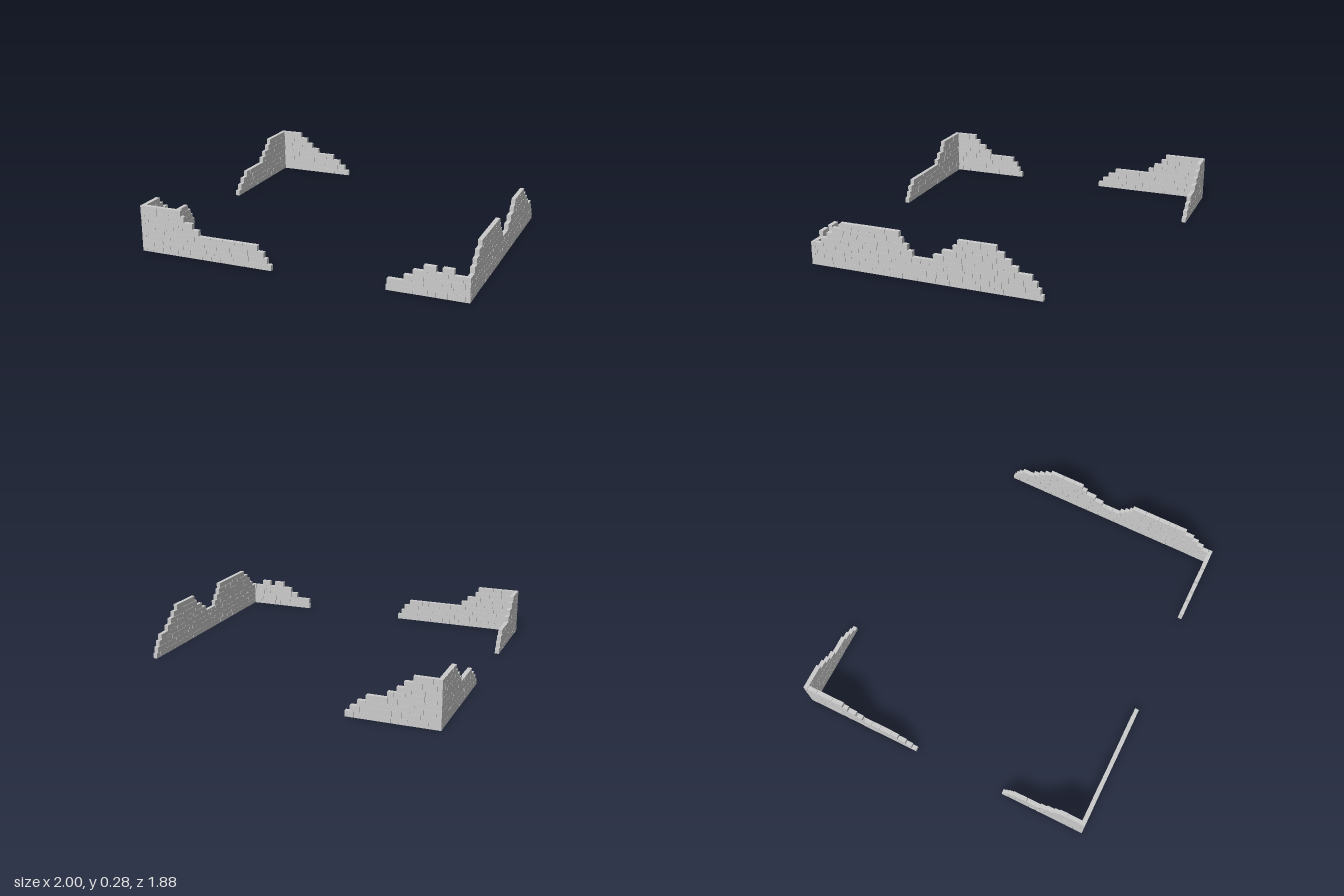
import * as THREE from 'three';

const ROW = 0.0353;   // height of one course
const THICK = 0.027;  // wall thickness
const GAP = 0.0015;   // joint between bricks

// small seeded generator
function seeded(seed) {
  let s = seed;
  return () => (s = (s * 16807) % 2147483647) / 2147483647;
}

// spans[row] = list of [from, to] along the wall; axis 'x' or 'z'; at = wall centre on the other axis
// corners = coordinates where alternate courses give way to the neighbouring wall
function buildWall(name, axis, at, spans, corners, seed, material) {
  const wall = new THREE.Group();
  wall.name = name;
  const rand = seeded(seed);
  spans.forEach((runs, row) => {
    for (let [from, to] of runs) {
      // interlocking courses at the corners
      const yields = (row % 2 === 0) === (axis === 'x');
      if (yields && corners.includes(from)) from += THICK;
      if (yields && corners.includes(to)) to -= THICK;
      // irregular brick lengths
      let p = from;
      while (p < to - 0.001) {
        let len = 0.045 + rand() * 0.07;
        if (to - p - len < 0.035) len = to - p;
        const thick = THICK - rand() * 0.0025;
        const size = axis === 'x'
          ? [len - GAP, ROW - GAP * 0.6, thick]
          : [thick, ROW - GAP * 0.6, len - GAP];
        const brick = new THREE.Mesh(new THREE.BoxGeometry(...size), material);
        brick.name = 'brick';
        const mid = p + len / 2, y = (row + 0.5) * ROW;
        if (axis === 'x') brick.position.set(mid, y, at);
        else brick.position.set(at, y, mid);
        wall.add(brick);
        p += len;
      }
    }
  });
  return wall;
}

export function createModel() {
  const model = new THREE.Group();
  model.name = 'ruinedBrickWalls';
  const material = new THREE.MeshStandardMaterial({ color: 0xcccccc, flatShading: true });
  const X = 1, Z = 0.938;
  const ex = X - THICK / 2, ez = Z - THICK / 2;
  const add = (...args) => model.add(buildWall(...args, material));

  // stepped walls that start at a corner: one broken end per course, bottom to top
  const fromCorner = (start, ends) => ends.map(e => [[Math.min(start, e), Math.max(start, e)]]);

  add('frontLeftCornerFrontWall', 'x', ez,
    fromCorner(-X, [-0.155, -0.18, -0.2, -0.24, -0.615, -0.655, -0.71, -0.73]), [-X], 11);
  add('frontLeftCornerSideWall', 'z', -ex,
    fromCorner(Z, [0.4, 0.42, 0.44, 0.47, 0.65, 0.69, 0.74, 0.77]), [Z], 23);
  add('backCornerRearWall', 'x', -ez,
    fromCorner(-X, [-0.46, -0.49, -0.53, -0.58, -0.7, -0.75, -0.79, -0.84]), [-X], 37);
  add('backCornerSideWall', 'z', -ex,
    fromCorner(-Z, [-0.19, -0.22, -0.26, -0.31, -0.55, -0.59, -0.64, -0.67]), [-Z], 41);

  // low front wall with two loose bricks on top
  add('entranceFrontWall', 'x', ez, [
    [[0.53, X]], [[0.535, X]], [[0.63, X]], [[0.68, X]],
    [[0.74, 0.81], [0.845, 0.91]],
  ], [X], 53);

  // long side wall with two broken peaks
  add('longSideWall', 'z', ex, [
    [[-0.495, Z]], [[-0.48, Z]], [[-0.46, Z]], [[-0.43, Z]],
    [[-0.35, 0.155], [0.28, 0.87]],
    [[-0.31, 0.1], [0.31, 0.83]],
    [[-0.27, 0.035], [0.34, 0.79]],
    [[-0.225, 0.005], [0.36, 0.735]],
  ], [Z], 67);

  return model;
}
